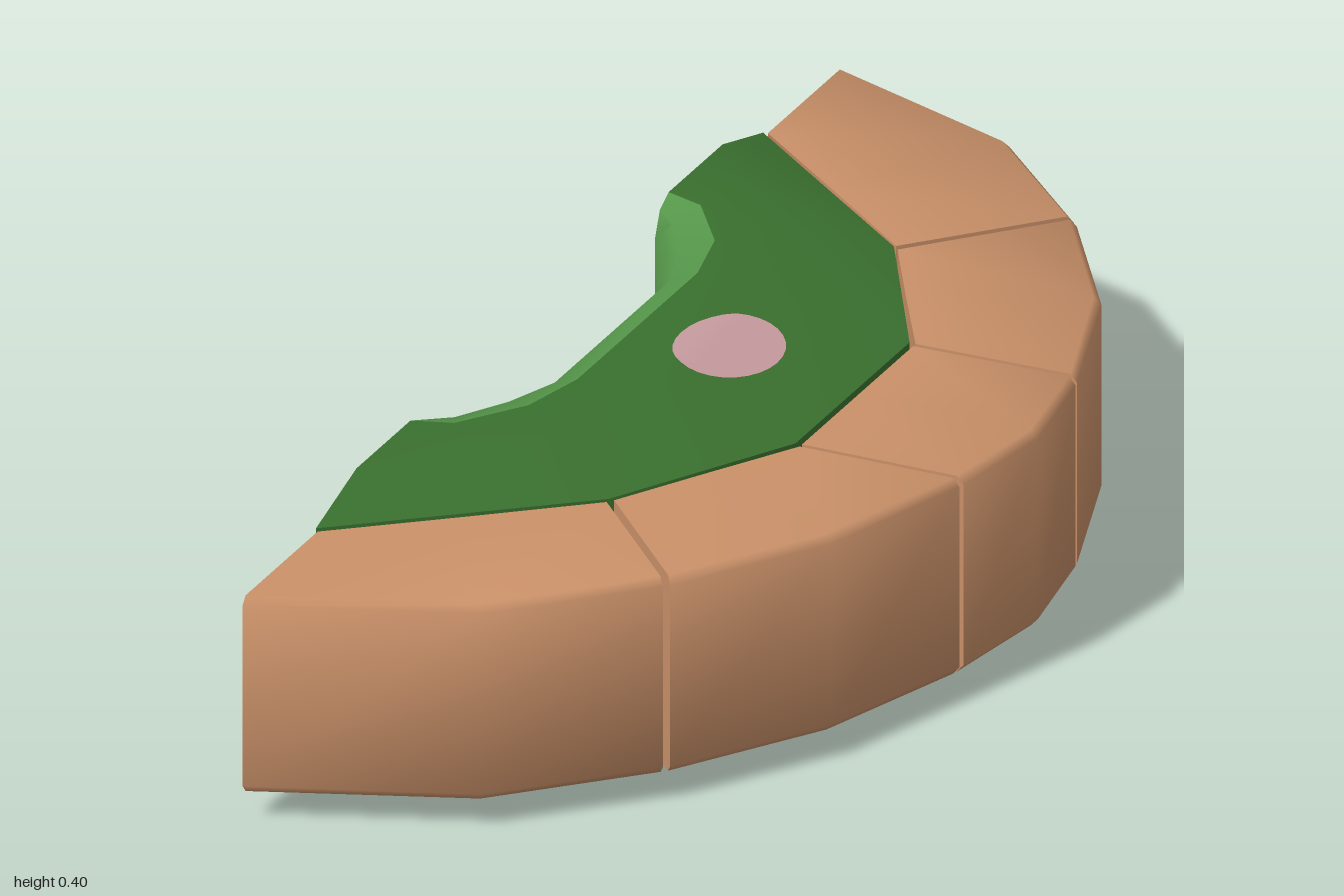
import * as THREE from 'three';
import { toCreasedNormals } from 'three/addons/utils/BufferGeometryUtils.js';

const MID = 0.194; // the piece is mirrored about this height
const CREASE = 0.9;

const mat = (name, color) => {
  const m = new THREE.MeshStandardMaterial({ color });
  m.name = name;
  return m;
};

// Skin a row of cross-sections (each a list of [x, y, z]) running from +z to -z.
function loft(sections, { closed = false, caps = false, sides = true } = {}) {
  const pos = [];
  const tri = (...pts) => pts.forEach((p) => pos.push(...p));
  const n = sections[0].length;
  if (sides) {
    for (let i = 0; i < sections.length - 1; i++) {
      for (let j = 0; j < (closed ? n : n - 1); j++) {
        const k = (j + 1) % n;
        const a = sections[i][j], b = sections[i][k];
        const c = sections[i + 1][k], d = sections[i + 1][j];
        tri(a, d, c);
        tri(a, c, b);
      }
    }
  }
  if (caps) {
    const first = sections[0], last = sections[sections.length - 1];
    for (let j = 1; j < n - 1; j++) {
      tri(first[0], first[j], first[j + 1]);
      tri(last[0], last[j + 1], last[j]);
    }
  }
  const g = new THREE.BufferGeometry();
  g.setAttribute('position', new THREE.Float32BufferAttribute(pos, 3));
  return toCreasedNormals(g, CREASE);
}

const mirrorStations = (list) => list.map((s) => s.map(([x, z]) => [x, -z])).reverse();

export function createModel() {
  const group = new THREE.Group();
  const rindMat = mat('tan rind', 0xca9169);
  const fleshMat = mat('dark green flesh', 0x3a702f);
  const rimMat = mat('light green rim', 0x55964a);
  const spotMat = mat('pink spot', 0xc79b9f);
  const add = (name, geometry, material) => {
    const mesh = new THREE.Mesh(geometry, material);
    mesh.name = name;
    group.add(mesh);
    return mesh;
  };

  // Flesh stations: [outer edge, plateau edge, rim edge, inner wall] as [x, z]
  const half = [
    [[-0.395, 0.745], [-0.395, 0.61], [-0.395, 0.43], [-0.395, 0.385]],
    [[-0.265, 0.64], [-0.315, 0.51], [-0.335, 0.41], [-0.37, 0.335]],
    [[-0.06, 0.475], [-0.19, 0.36], [-0.265, 0.31], [-0.335, 0.265]],
    [[0.1, 0.19], [-0.13, 0.15], [-0.24, 0.2], [-0.3, 0.19]],
  ];
  const stations = [...half, ...mirrorStations(half)];
  const mix = (a, b, t) => [a[0] + (b[0] - a[0]) * t, a[1] + (b[1] - a[1]) * t];
  // Upper half of each cross-section, then the same mirrored below
  const upper = stations.map(([o, p, r, w]) =>
    [[o, 0.35], [p, 0.388], [r, 0.388], [mix(r, w, 0.65), 0.372], [w, 0.335]]
      .map(([[x, z], y]) => [x, y, z]));
  const flip = ([x, y, z]) => [x, 2 * MID - y, z];
  const lower = upper.map((s) => s.map(flip).reverse());

  // Outer faces wrap from the lower rim edge around to the upper rim edge
  add('flesh', loft(upper.map((s, i) => [...lower[i].slice(2), ...s.slice(0, 3)])), fleshMat);
  add('innerRim', loft(upper.map((s, i) => [...s.slice(2), ...lower[i].slice(0, 3)])), rimMat);
  add('fleshCutEnds', loft(upper.map((s, i) => [...s, ...lower[i]]), { caps: true, sides: false }), fleshMat);

  // Rind wedges: stations of [outer, inner] as [x, z], outer edges slightly bevelled
  const endWedge = [
    [[-0.39, 1.0], [-0.39, 0.75]],
    [[-0.07, 0.88], [-0.225, 0.617]],
    [[0.125, 0.685], [-0.06, 0.482]],
  ];
  const sideWedge = [
    [[0.133, 0.677], [-0.053, 0.472]],
    [[0.28, 0.45], [0.028, 0.33]],
    [[0.362, 0.196], [0.108, 0.193]],
  ];
  const midWedge = [
    [[0.364, 0.187], [0.108, 0.185]],
    [[0.393, 0], [0.108, 0]],
    [[0.364, -0.187], [0.108, -0.185]],
  ];
  const wedges = {
    rindFrontEnd: endWedge,
    rindFront: sideWedge,
    rindMiddle: midWedge,
    rindBack: mirrorStations(sideWedge),
    rindBackEnd: mirrorStations(endWedge),
  };
  for (const [name, wedge] of Object.entries(wedges)) {
    const sections = wedge.map(([o, i]) => {
      const e = mix(o, i, 0.04);
      return [[e, 0.04], [o, 0.052], [o, 0.336], [e, 0.348], [i, 0.348], [i, 0.04]]
        .map(([[x, z], y]) => [x, y, z]);
    });
    add(name, loft(sections, { closed: true, caps: true }), rindMat);
  }

  // Top and bottom spots follow the fold between plateau and slope
  const topSpot = new THREE.RingGeometry(0, 1, 28, 6);
  topSpot.rotateX(-Math.PI / 2).scale(0.076, 1, 0.102).translate(-0.095, 0, 0);
  const p = topSpot.attributes.position;
  for (let i = 0; i < p.count; i++) {
    const slope = Math.max(0, p.getX(i) + 0.13) * (0.038 / 0.23);
    p.setY(i, 0.392 - slope - MID);
  }
  topSpot.computeVertexNormals();
  add('topSpot', topSpot, spotMat).position.y = MID;
  const bottom = add('bottomSpot', topSpot, spotMat);
  bottom.position.y = MID;
  bottom.rotation.x = Math.PI;

  // Spots on the two cut ends
  const endSpot = new THREE.CircleGeometry(1, 28);
  endSpot.scale(0.08, 0.095, 1).rotateY(-Math.PI / 2);
  for (const [name, z] of [['frontEndSpot', 0.56], ['backEndSpot', -0.56]]) {
    add(name, endSpot, spotMat).position.set(-0.398, MID, z);
  }
  return group;
}
